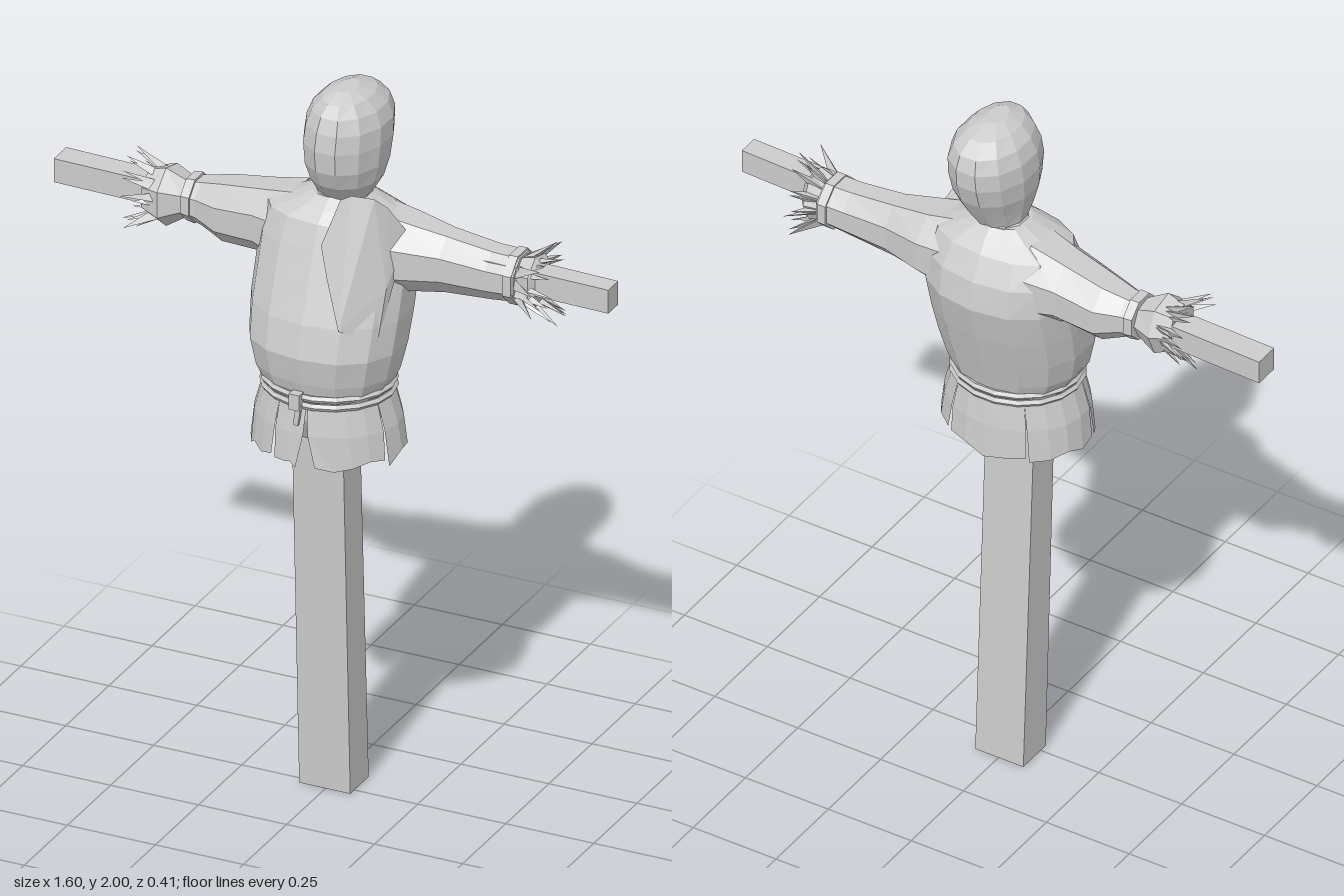
import * as THREE from 'three';
import { ConvexGeometry } from 'three/addons/geometries/ConvexGeometry.js';

const grey = new THREE.MeshStandardMaterial({ color: 0xcccccc, side: THREE.DoubleSide });
grey.name = 'plain grey';

let seed = 7;
const rand = (a, b) => {
  seed = (seed * 16807) % 2147483647;
  return a + (b - a) * (seed / 2147483647);
};

// Faceted mesh from any geometry
function part(name, geometry) {
  const g = geometry.index ? geometry.toNonIndexed() : geometry;
  g.computeVertexNormals();
  const mesh = new THREE.Mesh(g, grey);
  mesh.name = name;
  return mesh;
}

function fromArrays(points, index) {
  const g = new THREE.BufferGeometry();
  g.setAttribute('position', new THREE.Float32BufferAttribute(points, 3));
  g.setIndex(index);
  return g;
}

// Loft through rings. axis 'y': [y, x0, x1, z0, z1]; axis 'x': [x, y0, y1, z0, z1]
function loft(rings, sides, axis, power = 1, caps = true) {
  const pts = [], idx = [];
  const round = (v) => Math.sign(v) * Math.abs(v) ** power;
  for (const [h, a0, a1, z0, z1] of rings) {
    for (let j = 0; j < sides; j++) {
      const t = ((j + 0.5) / sides) * Math.PI * 2;
      const c = round(Math.cos(t)), s = round(Math.sin(t));
      const ma = (a0 + a1) / 2, ra = (a1 - a0) / 2, mz = (z0 + z1) / 2, rz = (z1 - z0) / 2;
      if (axis === 'y') pts.push(ma + ra * c, h, mz + rz * s);
      else pts.push(h, ma + ra * s, mz + rz * c);
    }
  }
  const last = rings.length - 1;
  for (let i = 0; i < last; i++) {
    for (let j = 0; j < sides; j++) {
      const k = (j + 1) % sides, a = i * sides + j, b = i * sides + k;
      if (axis === 'y') idx.push(a, a + sides, b, b, a + sides, b + sides);
      else idx.push(a, b, a + sides, b, b + sides, a + sides);
    }
  }
  if (caps) {
    const top = last * sides;
    for (let j = 1; j < sides - 1; j++) {
      if (axis === 'y') idx.push(0, j, j + 1, top, top + j + 1, top + j);
      else idx.push(0, j + 1, j, top, top + j, top + j + 1);
    }
  }
  return fromArrays(pts, idx);
}

// Four-cornered beam between two ends; each end is a list of corners
function beam(a, b, capped) {
  const idx = [];
  for (let j = 0; j < 4; j++) {
    const k = (j + 1) % 4;
    idx.push(j, j + 4, k, k, j + 4, k + 4);
  }
  if (capped) idx.push(0, 1, 2, 0, 2, 3, 4, 6, 5, 4, 7, 6);
  return fromArrays([...a, ...b].flat(), idx);
}

// Bunch of straw blades around a wrist; dir is the way the arm points
function straw(name, x, y, z, dir, count) {
  const group = new THREE.Group();
  group.name = name;
  for (let i = 0; i < count; i++) {
    const length = rand(0.08, 0.13);
    const blade = part('strawBlade', new THREE.ConeGeometry(rand(0.012, 0.022), length, 3).translate(0, length / 2, 0));
    const angle = (i / count) * Math.PI * 2 + rand(-0.2, 0.2);
    const spread = rand(0.15, 0.9);
    const out = new THREE.Vector3(dir, Math.sin(angle) * spread, Math.cos(angle) * spread).normalize();
    blade.quaternion.setFromUnitVectors(new THREE.Vector3(0, 1, 0), out);
    blade.position.set(x, y + Math.sin(angle) * 0.045, z + Math.cos(angle) * 0.045);
    group.add(blade);
  }
  return group;
}

// Hanging cloth panel between two angles, slit at its sides and ragged below
function skirtPanel(a0, a1, gap0, gap1) {
  const pts = [], idx = [], cols = 4;
  for (let i = 0; i < 3; i++) {
    const t = i / 2;
    for (let j = 0; j <= cols; j++) {
      const from = a0 + gap0 * t * t, to = a1 - gap1 * t * t;
      const a = from + ((to - from) * j) / cols;
      const flare = Math.sqrt(t);
      const hem = i === 2 ? rand(-0.015, 0.015) : 0;
      pts.push(0.013 + Math.cos(a) * (0.172 + 0.035 * flare), 1.18 - 0.17 * t + hem,
        0.03 + Math.sin(a) * (0.155 + 0.018 * flare));
    }
  }
  for (let i = 0; i < 2; i++) {
    for (let j = 0; j < cols; j++) {
      const a = i * (cols + 1) + j, c = a + cols + 1;
      idx.push(a, a + 1, c, a + 1, c + 1, c);
    }
  }
  return part('skirtPanel', fromArrays(pts, idx));
}

export function createModel() {
  const model = new THREE.Group();
  model.name = 'scarecrow';

  // Leaning post and crossbeam
  const square = (y, z0, z1) => [[-0.075, y, z0], [0.07, y, z0], [0.07, y, z1], [-0.075, y, z1]];
  model.add(part('post', beam(square(0, -0.083, 0.024), square(1.5, -0.01, 0.085), false)));
  const end = (x, z0, z1) => [[x, 1.53, z0], [x, 1.53, z1], [x, 1.597, z1], [x, 1.597, z0]];
  model.add(part('crossbeam', beam(end(-0.8, -0.105, -0.033), end(0.795, -0.05, 0.008), true)));

  // Stuffed shirt
  model.add(part('torso', loft([
    [1.05, -0.11, 0.13, -0.07, 0.13],
    [1.12, -0.15, 0.17, -0.11, 0.17],
    [1.2, -0.16, 0.185, -0.12, 0.18],
    [1.235, -0.18, 0.2, -0.13, 0.19],
    [1.31, -0.197, 0.217, -0.152, 0.203],
    [1.4, -0.203, 0.223, -0.178, 0.182],
    [1.5, -0.203, 0.223, -0.203, 0.145],
    [1.58, -0.2, 0.22, -0.19, 0.115],
    [1.645, -0.18, 0.2, -0.155, 0.09],
    [1.675, -0.11, 0.14, -0.125, 0.065],
    [1.7, -0.06, 0.09, -0.1, 0.035],
  ], 14, 'y', 0.88)));

  // Raised collar flap on the left breast
  model.add(part('collarFlap', new ConvexGeometry([
    [0.065, 1.72, 0.07], [0.1, 1.743, 0.078], [0.16, 1.742, 0.068], [0.185, 1.71, 0.04],
    [0.222, 1.63, 0], [0.03, 1.6, 0.112], [0.06, 1.52, 0.138], [0.2, 1.5, 0.08],
    [0.1, 1.67, -0.02], [0.19, 1.36, 0.11], [0.11, 1.4, 0.175],
  ].map((p) => new THREE.Vector3(...p)))));

  // Neck tie and sack head
  model.add(part('neckTie', loft([
    [1.665, -0.055, 0.095, -0.1, 0.045],
    [1.69, -0.062, 0.1, -0.108, 0.045],
    [1.705, -0.045, 0.09, -0.1, 0.03],
  ], 10, 'y')));
  model.add(part('head', loft([
    [1.66, -0.025, 0.08, -0.085, 0.02],
    [1.7, -0.045, 0.1, -0.103, 0.035],
    [1.75, -0.058, 0.13, -0.135, 0.08],
    [1.8, -0.071, 0.143, -0.165, 0.103],
    [1.86, -0.076, 0.148, -0.184, 0.109],
    [1.91, -0.071, 0.147, -0.186, 0.102],
    [1.95, -0.054, 0.132, -0.172, 0.087],
    [1.98, -0.024, 0.105, -0.132, 0.066],
    [2, 0.015, 0.065, -0.07, 0.02],
  ], 12, 'y')));

  // Sleeves
  model.add(part('rightSleeve', loft([
    [-0.42, 1.505, 1.62, -0.12, 0],
    [-0.385, 1.495, 1.625, -0.125, 0.002],
    [-0.32, 1.465, 1.64, -0.148, 0.025],
    [-0.2, 1.47, 1.662, -0.15, 0.05],
    [-0.1, 1.43, 1.685, -0.16, 0.08],
  ], 8, 'x')));
  model.add(part('leftSleeve', loft([
    [0.1, 1.42, 1.685, -0.16, 0.08],
    [0.21, 1.45, 1.66, -0.155, 0.06],
    [0.32, 1.465, 1.638, -0.125, 0.025],
    [0.45, 1.475, 1.622, -0.118, 0.022],
    [0.53, 1.485, 1.62, -0.12, 0.025],
  ], 8, 'x')));

  // Wrist ties and straw hands
  model.add(part('rightWristTie', loft([
    [-0.425, 1.5, 1.628, -0.125, 0.005], [-0.4, 1.495, 1.63, -0.127, 0.006],
  ], 8, 'x')));
  model.add(part('rightCuff', loft([
    [-0.53, 1.5, 1.63, -0.11, 0.015], [-0.48, 1.475, 1.645, -0.128, 0.03], [-0.425, 1.51, 1.615, -0.11, 0],
  ], 7, 'x')));
  model.add(part('leftWristTie', loft([
    [0.5, 1.475, 1.625, -0.125, 0.028], [0.525, 1.475, 1.625, -0.125, 0.028],
  ], 8, 'x')));
  model.add(part('leftCuff', loft([
    [0.52, 1.495, 1.61, -0.105, 0.01], [0.57, 1.48, 1.625, -0.115, 0.025], [0.59, 1.51, 1.6, -0.09, 0],
  ], 7, 'x')));
  model.add(straw('rightStraw', -0.475, 1.56, -0.05, -1, 22));
  model.add(straw('leftStraw', 0.525, 1.545, -0.045, 1, 22));

  // Rope belt of two turns, with a knot in front
  for (const y of [1.175, 1.197]) {
    model.add(part('belt', new THREE.TorusGeometry(1, 0.055, 5, 18)
      .rotateX(Math.PI / 2).scale(0.172, 0.18, 0.158).translate(0.013, y, 0.03)));
  }
  model.add(part('beltKnot', new THREE.BoxGeometry(0.03, 0.045, 0.025).translate(0, 1.188, 0.195)));
  model.add(part('beltEnd', new THREE.BoxGeometry(0.014, 0.06, 0.01).rotateZ(-0.15).translate(0.005, 1.15, 0.196)));

  // Ragged skirt: angle from +x towards the front, with side gaps
  const cuts = [[0.35, 0.04], [1.5, 0.13], [1.98, 0.03], [2.9, 0.05], [4.1, 0.02], [5.3, 0.04]];
  const skirt = new THREE.Group();
  skirt.name = 'skirt';
  cuts.forEach(([a, gap], i) => {
    const [next, nextGap] = cuts[(i + 1) % cuts.length];
    skirt.add(skirtPanel(a, next > a ? next : next + Math.PI * 2, gap, nextGap));
  });
  model.add(skirt);

  return model;
}
